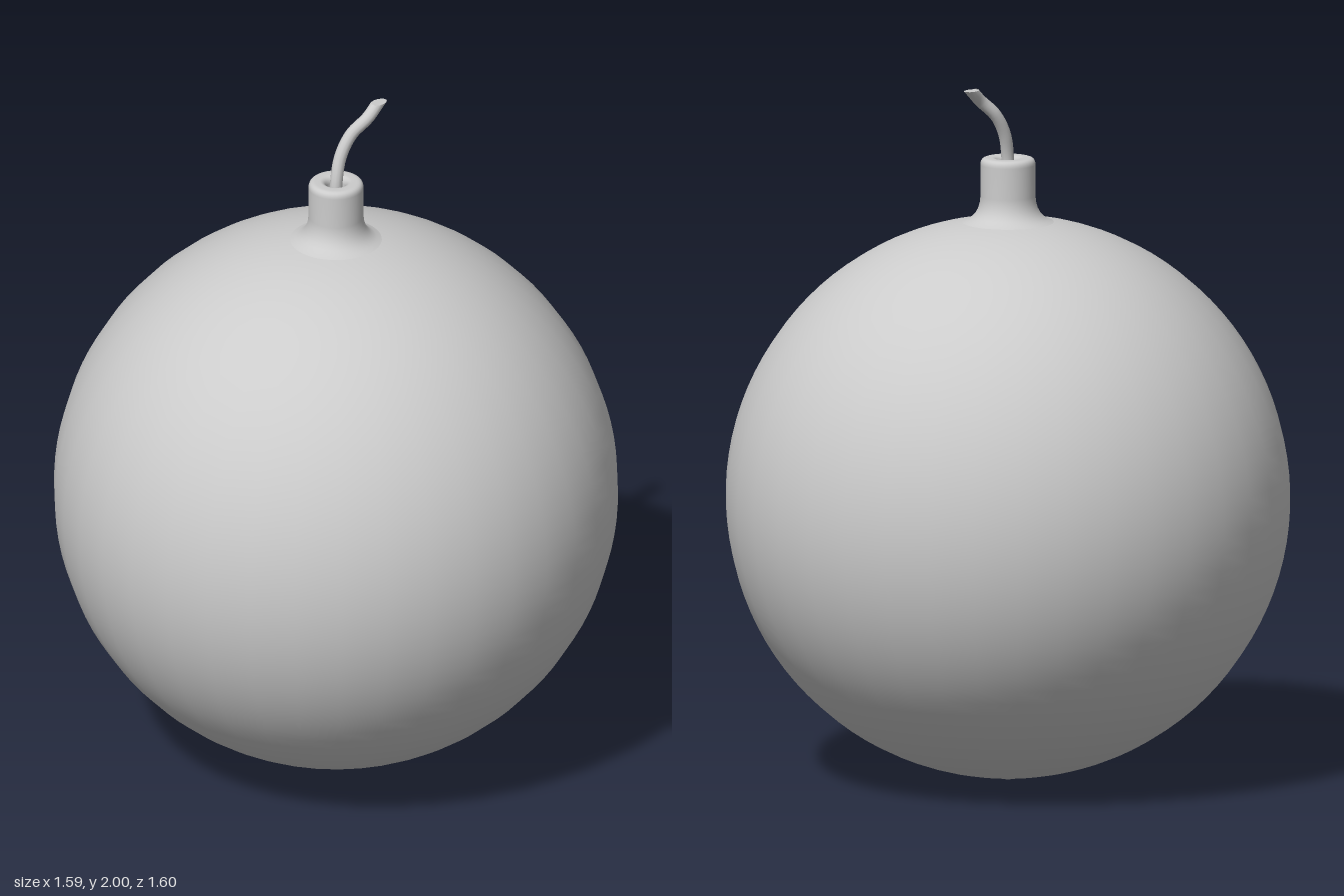
import * as THREE from 'three';

const SIDES = 38;
const v2 = (x, y) => new THREE.Vector2(x, y);
const material = new THREE.MeshStandardMaterial({ color: 0xcccccc, side: THREE.DoubleSide });

function addPart(group, name, geometry) {
  const mesh = new THREE.Mesh(geometry, material);
  mesh.name = name;
  group.add(mesh);
}

// Round body with a faintly pointed underside
function bodyGeometry() {
  const radius = 0.8, centre = 0.815, end = Math.PI - 0.13;
  const points = [v2(0, 0)];
  for (let i = 1; i <= 48; i++) {
    const a = 0.06 + (end - 0.06) * (i / 48);
    points.push(v2(radius * Math.sin(a), centre - radius * Math.cos(a)));
  }
  return new THREE.LatheGeometry(points, SIDES);
}

// Flared neck with a rounded rim and an open socket
function neckGeometry() {
  const path = new THREE.Path();
  path.moveTo(0.13, 1.605);
  path.quadraticCurveTo(0.08, 1.62, 0.078, 1.68);
  path.lineTo(0.078, 1.77);
  path.quadraticCurveTo(0.078, 1.79, 0.06, 1.79);
  path.lineTo(0.045, 1.79);
  path.quadraticCurveTo(0.03, 1.788, 0.028, 1.77);
  path.lineTo(0.028, 1.7);
  path.lineTo(0, 1.7);
  return new THREE.LatheGeometry(path.getPoints(6), SIDES);
}

export function createModel() {
  const model = new THREE.Group();
  model.name = 'fusedSphere';
  addPart(model, 'body', bodyGeometry());
  addPart(model, 'neck', neckGeometry());

  // Curved fuse, its last ring slid along the path to a level cut
  const rings = 24, sides = 12, top = 2;
  const curve = new THREE.CatmullRomCurve3([
    [0, 1.7, 0], [0.002, 1.79, 0], [0.022, 1.86, -0.002], [0.056, 1.92, 0.008],
    [0.098, 1.965, 0.033], [0.137, 1.998, 0.037],
  ].map(p => new THREE.Vector3(...p)));
  const fuse = new THREE.TubeGeometry(curve, rings, 0.018, sides);
  const tangent = curve.getTangentAt(1);
  const position = fuse.attributes.position;
  const cut = [curve.getPointAt(1).setY(top)];
  for (let j = 0; j <= sides; j++) {
    const i = rings * (sides + 1) + j;
    const p = new THREE.Vector3().fromBufferAttribute(position, i);
    p.addScaledVector(tangent, (top - p.y) / tangent.y);
    position.setXYZ(i, p.x, p.y, p.z);
    cut.push(p);
  }
  addPart(model, 'fuse', fuse);

  // Cap over the cut end, wound to face up
  const cap = new THREE.BufferGeometry().setFromPoints(cut);
  const a = cut[1].clone().sub(cut[0]), b = cut[2].clone().sub(cut[0]);
  const up = a.cross(b).y > 0;
  const index = [];
  for (let j = 1; j <= sides; j++) index.push(0, up ? j : j + 1, up ? j + 1 : j);
  cap.setIndex(index);
  cap.computeVertexNormals();
  addPart(model, 'fuseEnd', cap);

  return model;
}
